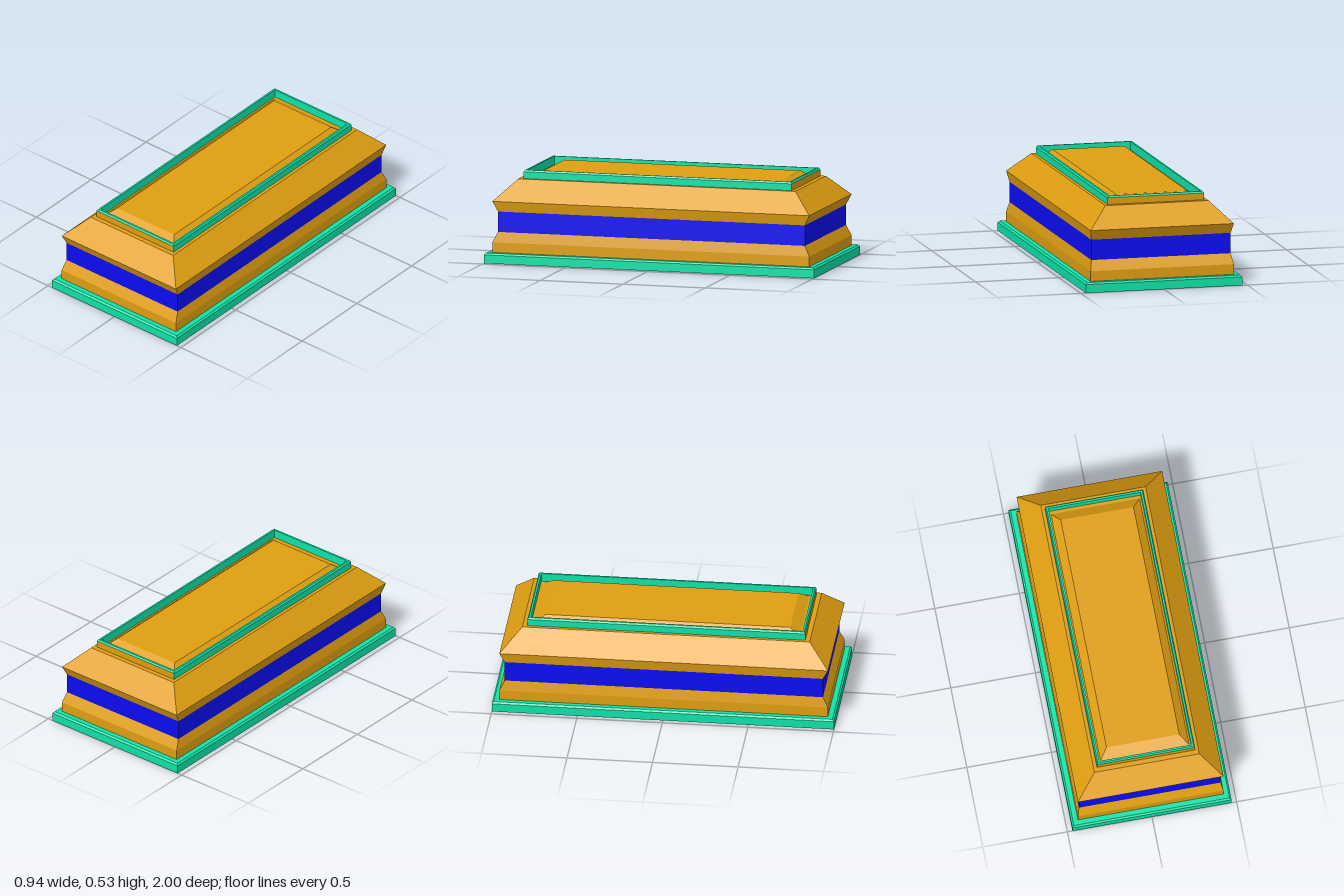
import * as THREE from 'three';

const mat = (color) => new THREE.MeshStandardMaterial({ color, flatShading: true });

// Stacked rectangular rings [halfX, halfZ, y]; walls may be limited to the 'x' or 'z' sides.
function loft(name, rings, material, { walls = 'xz', top = false, bottom = false } = {}) {
  const pos = [];
  const corners = ([x, z, y]) => [[x, y, z], [x, y, -z], [-x, y, -z], [-x, y, z]];
  const quad = (a, b, c, d) => pos.push(...a, ...b, ...c, ...a, ...c, ...d);
  for (let i = 0; i < rings.length - 1; i++) {
    const lo = corners(rings[i]), hi = corners(rings[i + 1]);
    for (let k = 0; k < 4; k++) {
      if (!walls.includes(k % 2 ? 'z' : 'x')) continue;
      const n = (k + 1) % 4;
      quad(lo[k], lo[n], hi[n], hi[k]);
    }
  }
  if (top) quad(...corners(rings[rings.length - 1]));
  if (bottom) quad(...corners(rings[0]).reverse());
  const geo = new THREE.BufferGeometry();
  geo.setAttribute('position', new THREE.Float32BufferAttribute(pos, 3));
  geo.computeVertexNormals();
  const mesh = new THREE.Mesh(geo, material);
  mesh.name = name;
  return mesh;
}

export function createModel() {
  const group = new THREE.Group();
  group.name = 'chest';
  const gold = mat(0xdf9e11), teal = mat(0x0fe2a9), blue = mat(0x0c0cf4);

  group.add(
    // Plinth with a bevelled upper edge
    loft('basePlinth', [[0.47, 1, 0], [0.47, 1, 0.05], [0.46, 0.99, 0.06]], teal, { top: true, bottom: true }),
    // Body: lower moulding, recessed band, flared cornice and sloping lid
    loft('lowerMoulding', [[0.43, 0.96, 0.06], [0.43, 0.96, 0.12], [0.418, 0.93, 0.18]], gold),
    loft('middleBand', [[0.418, 0.93, 0.18], [0.418, 0.93, 0.3]], blue),
    loft('lid', [[0.418, 0.93, 0.3], [0.43, 0.96, 0.36], [0.31, 0.84, 0.48]], gold, { top: true }),
    // Raised panel on the lid
    loft('lidPanel', [[0.262, 0.775, 0.48], [0.215, 0.715, 0.52]], gold, { top: true }),
    // Rim around the panel: gold ends, teal sides, bevelled top and inner wall
    loft('rimEnds', [[0.29, 0.812, 0.48], [0.29, 0.812, 0.52]], gold, { walls: 'z' }),
    loft('rimSides', [[0.29, 0.812, 0.48], [0.29, 0.812, 0.52]], teal, { walls: 'x' }),
    loft('rimTop', [[0.29, 0.812, 0.52], [0.283, 0.805, 0.53], [0.272, 0.794, 0.53], [0.272, 0.794, 0.48]], teal)
  );
  return group;
}
